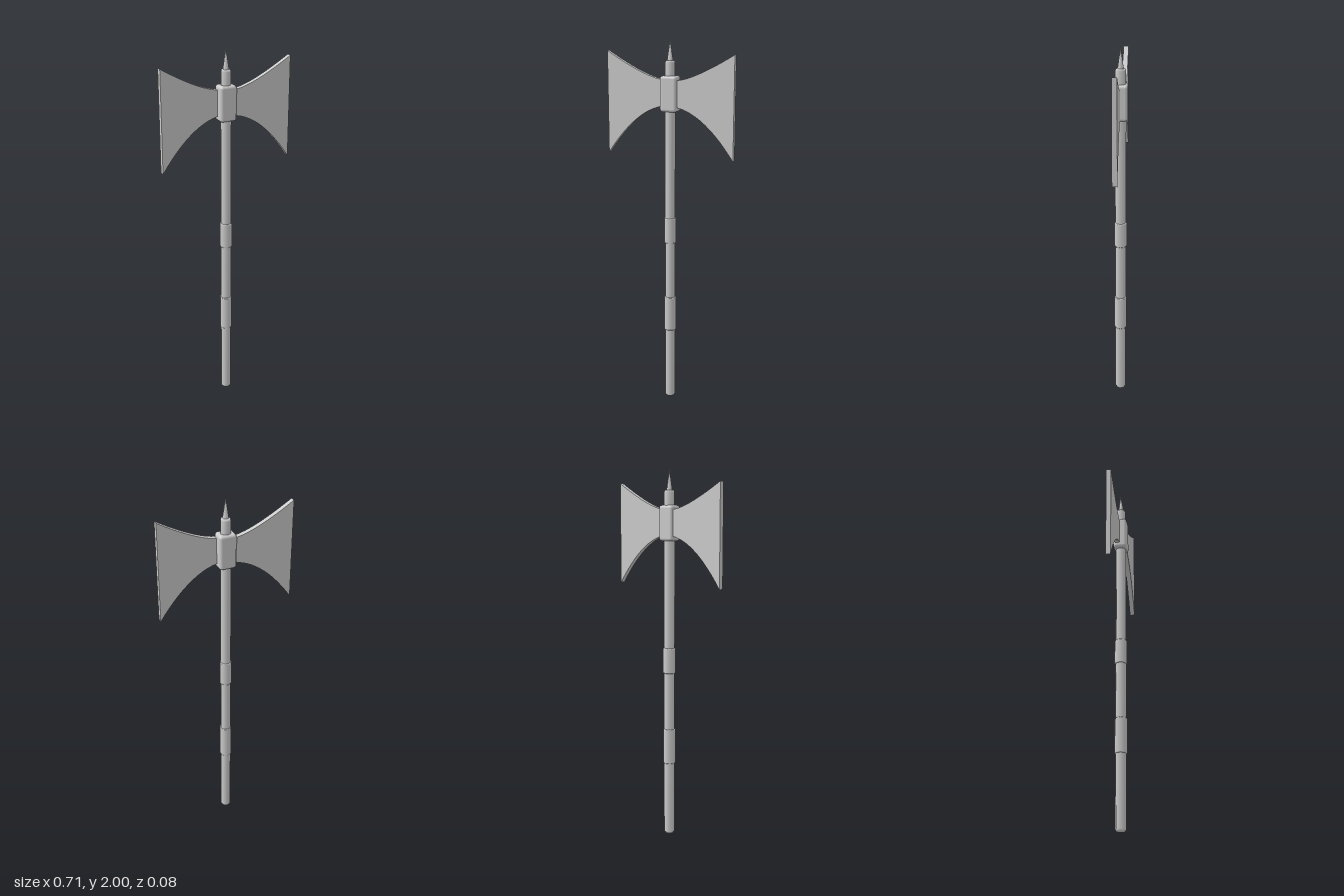
import * as THREE from 'three';
import { RoundedBoxGeometry } from 'three/addons/geometries/RoundedBoxGeometry.js';

export function createModel() {
  const model = new THREE.Group();
  model.name = 'doubleAxe';
  const steel = new THREE.MeshStandardMaterial({ color: 0xcccccc });
  steel.name = 'paleGrey';

  const add = (name, geometry) => {
    const mesh = new THREE.Mesh(geometry, steel);
    mesh.name = name;
    model.add(mesh);
    return mesh;
  };
  // Turned part from [radius, height] pairs, listed bottom to top
  const turned = (name, profile, sides) =>
    add(name, new THREE.LatheGeometry(profile.map(([r, y]) => new THREE.Vector2(r, y)), sides));

  // Eight-sided handle with a rounded butt
  turned('handle', [[0, 0], [0.022, 0.003], [0.029, 0.014], [0.029, 0.41], [0.029, 0.6],
    [0.029, 0.91], [0.029, 1.05], [0.029, 1.7]], 8);

  // Grip bands
  for (const [name, low, high] of [['lowerBand', 0.405, 0.6], ['upperBand', 0.91, 1.05]]) {
    turned(name, [[0.027, low], [0.033, low + 0.002], [0.034, low + 0.006],
      [0.034, high - 0.006], [0.033, high - 0.002], [0.027, high]], 8);
  }

  // Rounded socket that holds the blades
  const socket = add('socket', new RoundedBoxGeometry(0.092, 0.187, 0.076, 3, 0.015));
  socket.position.y = 1.718;

  // Collar and top spike
  turned('collar', [[0.028, 1.79], [0.028, 1.88], [0.023, 1.89], [0, 1.891]], 8);
  turned('spike', [[0.016, 1.888], [0.009, 1.94], [0, 2]], 6);

  // Flared blades, each offset to one side of the centre plane
  const outline = new THREE.Shape();
  outline.moveTo(0.048, 1.65);
  outline.quadraticCurveTo(0.2, 1.62, 0.357, 1.387);
  outline.lineTo(0.357, 1.93);
  outline.quadraticCurveTo(0.15, 1.803, 0.048, 1.79);
  outline.closePath();
  const bladeGeometry = new THREE.ExtrudeGeometry(outline, {
    depth: 0.027, bevelEnabled: false, curveSegments: 12,
  });
  add('leftBlade', bladeGeometry);
  add('rightBlade', bladeGeometry).rotation.y = Math.PI;

  return model;
}
